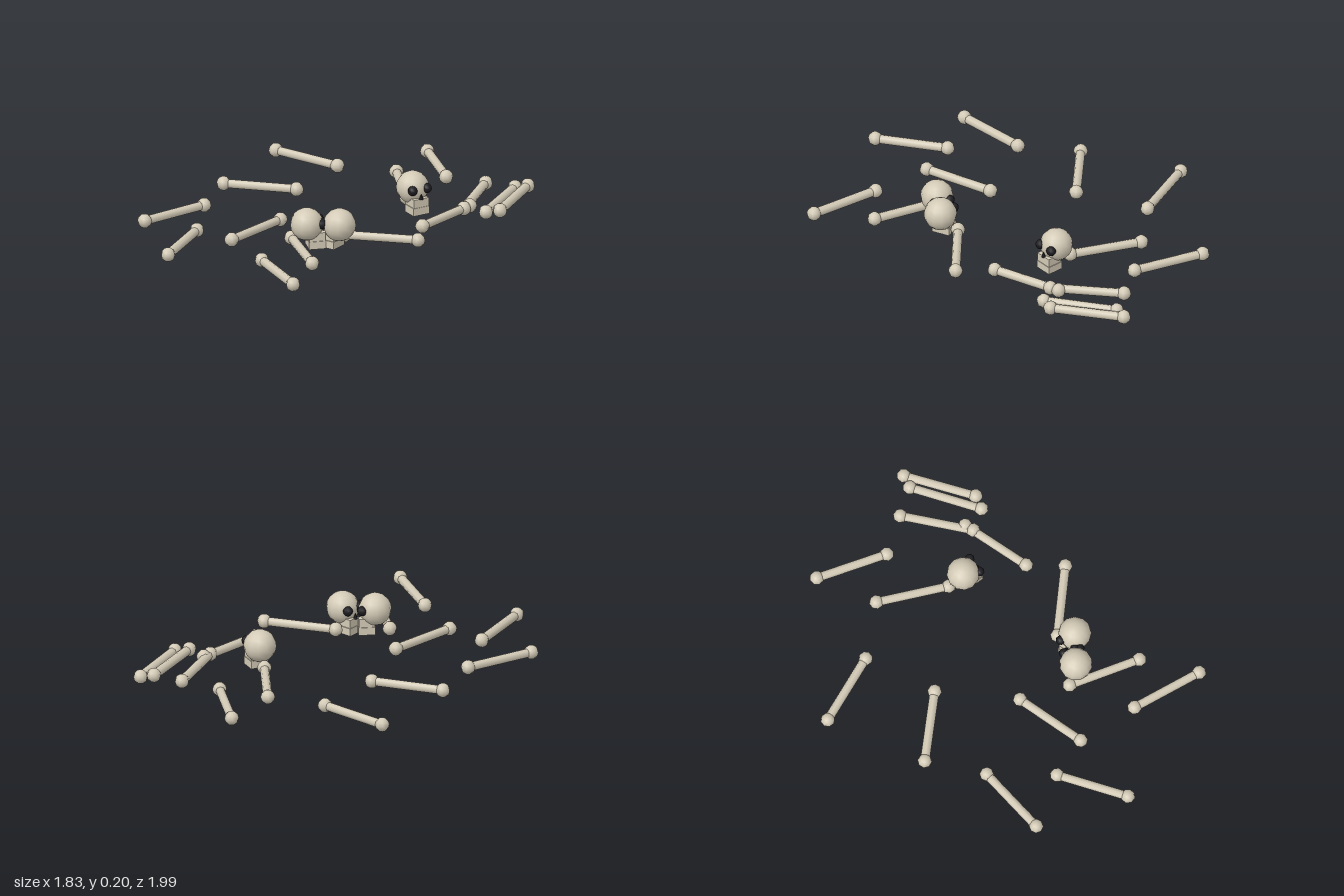
import * as THREE from 'three';

const bone = new THREE.MeshStandardMaterial({ color: 0xd3cab6 });
const dark = new THREE.MeshStandardMaterial({ color: 0x1c1c20 });

const BONE_Y = 0.045;

// Each row: x, z of one knob, then x, z of the other
const BONES = [
  [-0.434, -0.836, -0.095, -0.684],
  [0.3, -0.968, 0.46, -0.638],
  [0.205, -0.663, 0.325, -0.317],
  [0.667, -0.593, 0.63, -0.228],
  [0.651, -0.27, 0.476, 0.05],
  [0.82, -0.562, 0.746, -0.2],
  [0.878, -0.598, 0.81, -0.235],
  [-0.598, -0.338, -0.23, -0.328],
  [-0.635, -0.027, -0.88, 0.244],
  [-0.603, 0.318, -0.677, 0.677],
  [-0.228, 0.095, -0.41, 0.414],
  [-0.21, 0.66, 0.005, 0.957],
  [-0.127, 0.33, 0.042, 0.657],
  [0.125, 0.243, 0.492, 0.243],
];

// Each row: x, z of the skull, then the x, z direction it faces
const SKULLS = [
  [0.368, -0.25, 0.67, 0.74],
  [-0.045, 0.352, 0.92, -0.4],
  [0.115, 0.33, -0.91, -0.4],
];

function addMesh(parent, name, geometry, material, x, y, z) {
  const mesh = new THREE.Mesh(geometry, material);
  mesh.name = name;
  mesh.position.set(x, y, z);
  parent.add(mesh);
  return mesh;
}

// Shaft lying along local z with a knob on each end
function makeBone([x1, z1, x2, z2]) {
  const group = new THREE.Group();
  group.name = 'bone';
  const length = Math.hypot(x2 - x1, z2 - z1);
  const shaft = new THREE.CylinderGeometry(0.023, 0.023, length, 8).rotateX(Math.PI / 2);
  addMesh(group, 'shaft', shaft, bone, 0, 0, 0);
  for (const s of [-1, 1]) {
    addMesh(group, 'knob', new THREE.SphereGeometry(0.036, 8, 6), bone, 0, 0, s * length / 2);
  }
  group.position.set((x1 + x2) / 2, BONE_Y, (z1 + z2) / 2);
  group.rotation.y = Math.atan2(x2 - x1, z2 - z1);
  return group;
}

// Skull facing local +z
function makeSkull([x, z, dx, dz]) {
  const group = new THREE.Group();
  group.name = 'skull';
  addMesh(group, 'cranium', new THREE.SphereGeometry(0.082, 12, 10), bone, 0, 0.131, 0);
  addMesh(group, 'upperJaw', new THREE.BoxGeometry(0.085, 0.045, 0.08), bone, 0, 0.072, 0.045);
  addMesh(group, 'lowerJaw', new THREE.BoxGeometry(0.092, 0.04, 0.085), bone, 0, 0.031, 0.045);
  for (const s of [-1, 1]) {
    addMesh(group, 'eyeSocket', new THREE.SphereGeometry(0.025, 8, 6), dark, s * 0.041, 0.139, 0.069);
  }
  const nose = new THREE.ConeGeometry(0.014, 0.03, 4);
  addMesh(group, 'noseHole', nose, dark, 0, 0.106, 0.082);
  group.position.set(x, 0, z);
  group.rotation.y = Math.atan2(dx, dz);
  return group;
}

export function createModel() {
  const model = new THREE.Group();
  model.name = 'bonePile';
  BONES.forEach((b) => model.add(makeBone(b)));
  SKULLS.forEach((s) => model.add(makeSkull(s)));
  return model;
}
